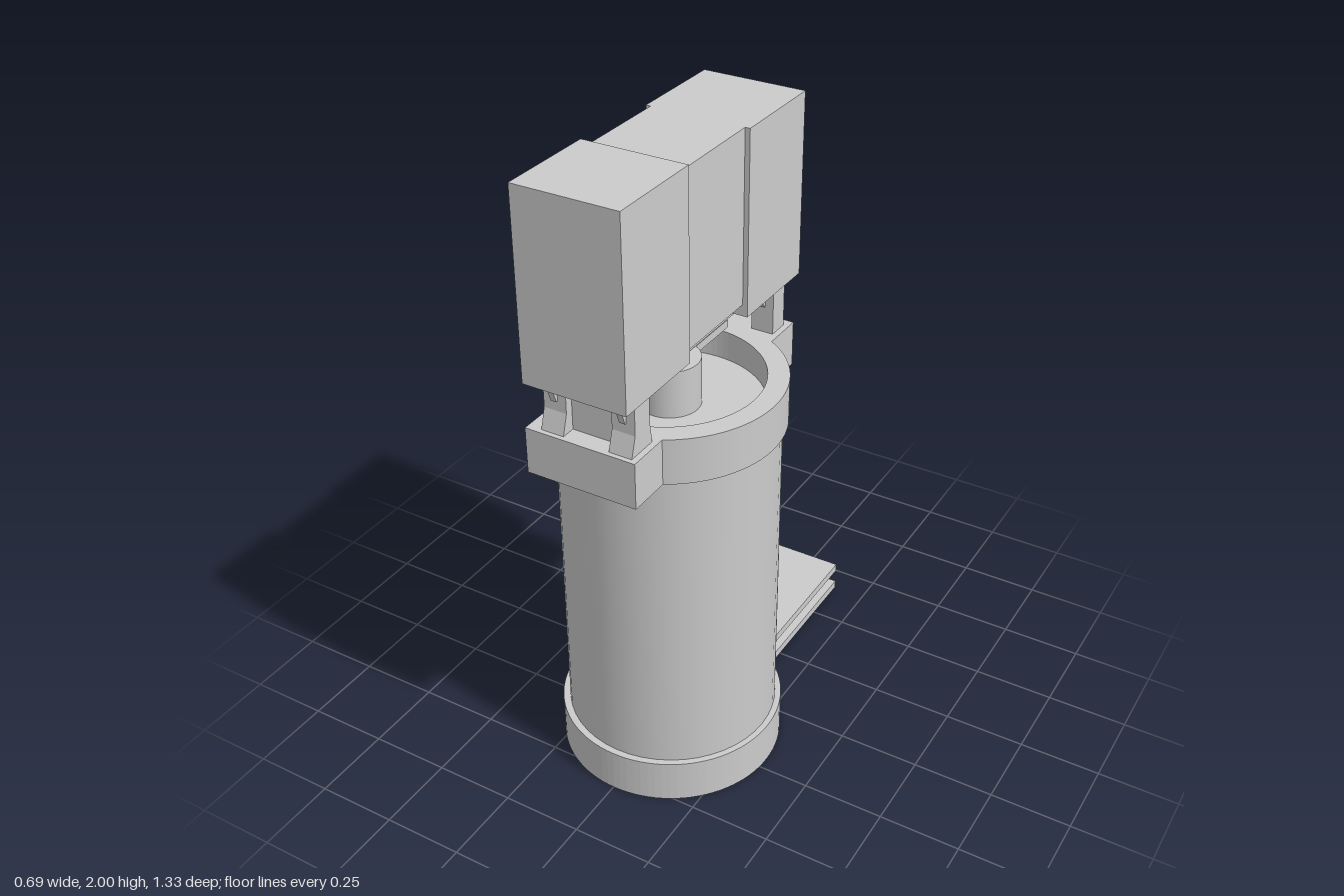
import * as THREE from 'three';

const material = new THREE.MeshStandardMaterial({ color: 0xcccccc });
const AXIS_Z = 0.21; // centre of the drum

export function createModel() {
  const model = new THREE.Group();

  const add = (name, geometry) => {
    const mesh = new THREE.Mesh(geometry, material);
    mesh.name = name;
    model.add(mesh);
    return mesh;
  };

  // Box given by its limits on each axis
  const box = (name, x0, x1, y0, y1, z0, z1) =>
    add(name, new THREE.BoxGeometry(x1 - x0, y1 - y0, z1 - z0))
      .position.set((x0 + x1) / 2, (y0 + y1) / 2, (z0 + z1) / 2);

  const cylinder = (name, radius, y0, y1, x = 0.005, segments = 48) =>
    add(name, new THREE.CylinderGeometry(radius, radius, y1 - y0, segments))
      .position.set(x, (y0 + y1) / 2, AXIS_Z);

  // Plan outline raised from y0 to y1 about the drum axis
  const raise = (name, shape, y0, y1, x = 0) => {
    const geometry = new THREE.ExtrudeGeometry(shape, { depth: y1 - y0, bevelEnabled: false, curveSegments: 48 });
    geometry.rotateX(-Math.PI / 2);
    add(name, geometry).position.set(x, y0, AXIS_Z);
  };

  // Side outline of [z, y] points, extruded along x from x0 to x1
  const sidePlate = (name, points, x0, x1) => {
    const shape = new THREE.Shape(points.map(([z, y]) => new THREE.Vector2(-z, y)));
    const geometry = new THREE.ExtrudeGeometry(shape, { depth: x1 - x0, bevelEnabled: false });
    geometry.rotateY(Math.PI / 2);
    add(name, geometry).position.x = x0;
  };

  // Base disc with four small square sockets underneath
  const base = new THREE.Shape().absarc(0, 0, 0.34, 0, Math.PI * 2);
  for (const sx of [-1, 1]) for (const sz of [-1, 1]) {
    const [x, z, h] = [sx * 0.024, sz * 0.02, 0.013];
    base.holes.push(new THREE.Path([[-h, -h], [-h, h], [h, h], [h, -h]]
      .map(([a, b]) => new THREE.Vector2(x + a, z + b))));
  }
  raise('base', base, 0, 0.14, 0.003);

  // Drum
  cylinder('drum', 0.32, 0.06, 1.2);

  // Collar with a square lug at the front and the back
  const collar = new THREE.Shape();
  const a = Math.acos(0.17 / 0.342);
  collar.absarc(0, 0, 0.342, -a, a, false);
  collar.lineTo(0.17, 0.428);
  collar.lineTo(-0.17, 0.428);
  collar.absarc(0, 0, 0.342, Math.PI - a, Math.PI + a, false);
  collar.lineTo(-0.17, -0.428);
  collar.lineTo(0.17, -0.428);
  collar.closePath();
  collar.holes.push(new THREE.Path().absarc(0, 0, 0.28, 0, Math.PI * 2, true));
  raise('collar', collar, 1.15, 1.29, -0.002);

  // Hub, crossbars and the spindle of the middle housing
  cylinder('hub', 0.09, 1.19, 1.345, 0.008);
  box('lowerBar', -0.045, 0.045, 1.32, 1.345, -0.05, 0.465);
  box('upperBar', -0.032, 0.048, 1.35, 1.38, -0.075, 0.49);
  cylinder('barPin', 0.03, 1.34, 1.355, 0.008, 24);
  cylinder('spindle', 0.042, 1.385, 1.455, 0.008, 24);
  cylinder('spindleFlange', 0.105, 1.45, 1.475, 0.008);

  // Housings
  box('frontHousing', -0.15, 0.165, 1.445, 2, 0.36, 0.665);
  box('middleHousing', -0.135, 0.15, 1.47, 1.985, 0.05, 0.35);
  box('backHousing', -0.15, 0.165, 1.435, 1.985, -0.25, 0.055);

  // Paired legs with thin gussets under the outer housings
  for (const x of [-0.13, 0.08]) {
    sidePlate('frontLeg', [[0.625, 1.285], [0.605, 1.35], [0.605, 1.45], [0.535, 1.45],
      [0.535, 1.35], [0.525, 1.285]], x, x + 0.07);
    sidePlate('frontGusset', [[0.61, 1.38], [0.635, 1.45], [0.475, 1.45], [0.535, 1.38]], x + 0.026, x + 0.044);
    box('backLeg', x, x + 0.07, 1.285, 1.44, -0.19, -0.125);
    sidePlate('backGusset', [[-0.125, 1.37], [-0.07, 1.44], [-0.215, 1.44], [-0.19, 1.37]], x + 0.026, x + 0.044);
  }
  box('frontWeb', -0.06, 0.08, 1.285, 1.45, 0.56, 0.58);

  // Forked foot reaching out behind
  box('footLowerPlate', -0.14, 0.143, 0, 0.027, -0.662, -0.08);
  box('footUpperPlate', -0.14, 0.143, 0.073, 0.1, -0.662, -0.08);
  box('footWeb', -0.14, 0.143, 0.02, 0.08, -0.132, -0.08);

  return model;
}
